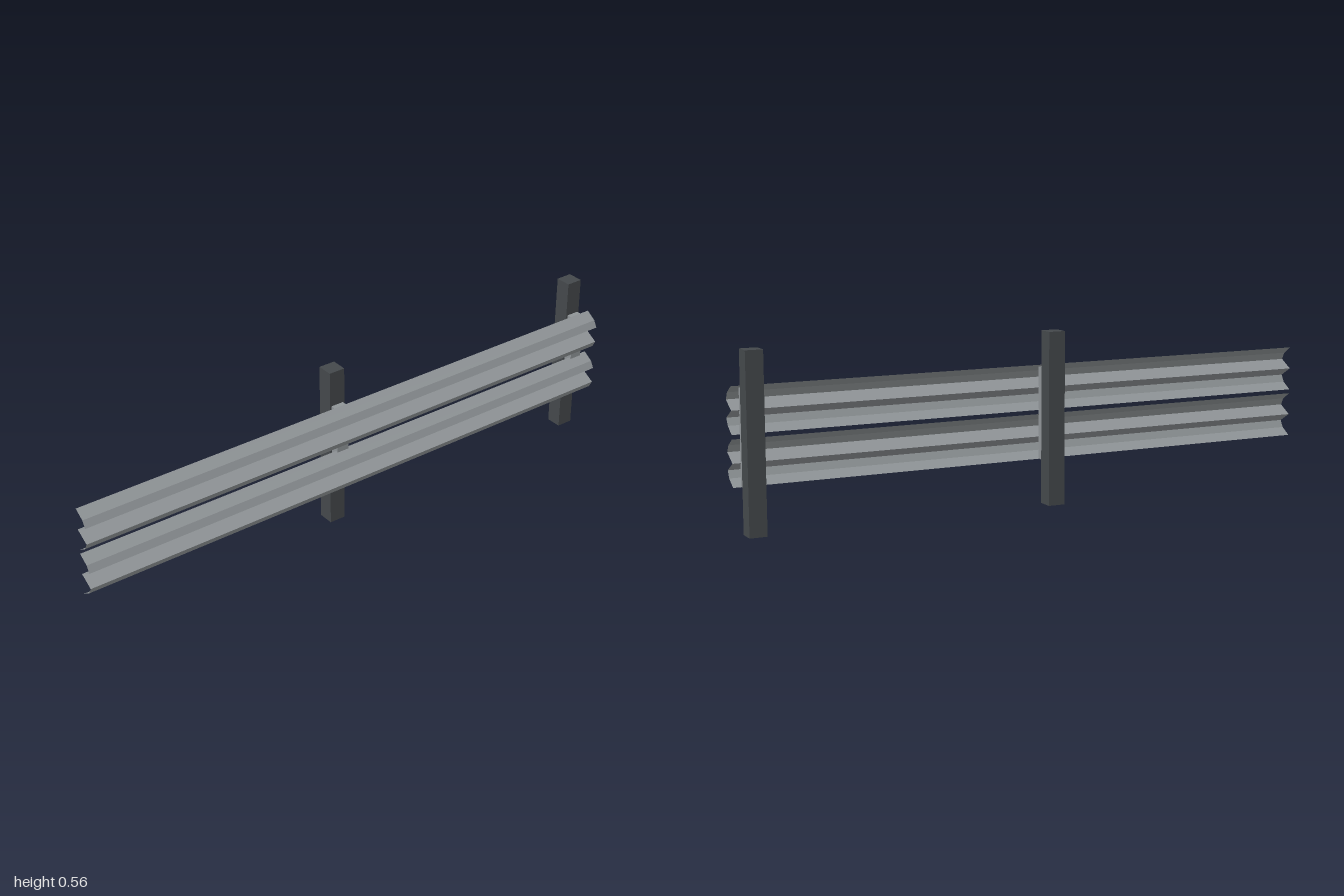
import * as THREE from 'three';

const steel = new THREE.MeshStandardMaterial({ color: 0x8f9497, flatShading: true, side: THREE.DoubleSide });
steel.name = 'galvanised grey';
const dark = new THREE.MeshStandardMaterial({ color: 0x44484b, flatShading: true });
dark.name = 'dark post grey';

// Folded beam profile as [x, height above the beam's middle], top to bottom
const upperHalf = [[0.0155, 0.073], [0.05, 0.0505], [0.0625, 0.0275]];
const profile = [...upperHalf, [0.0155, 0], ...upperHalf.map(([x, y]) => [x, -y]).reverse()];

// Thin sheet: the profile swept along z
function beamGeometry() {
  const positions = [], index = [];
  profile.forEach(([x, y], i) => {
    positions.push(x, y, 1, x, y, -1);
    if (i > 0) {
      const a = (i - 1) * 2, b = i * 2;
      index.push(a, b, b + 1, a, b + 1, a + 1);
    }
  });
  const geometry = new THREE.BufferGeometry();
  geometry.setAttribute('position', new THREE.Float32BufferAttribute(positions, 3));
  geometry.setIndex(index);
  const flat = geometry.toNonIndexed();
  flat.computeVertexNormals();
  return flat;
}

// Box given by its limits in x and y, and its centre and depth in z
function box(name, material, x0, x1, y0, y1, z, depth) {
  const mesh = new THREE.Mesh(new THREE.BoxGeometry(x1 - x0, y1 - y0, depth), material);
  mesh.position.set((x0 + x1) / 2, (y0 + y1) / 2, z);
  mesh.name = name;
  return mesh;
}

export function createModel() {
  const group = new THREE.Group();
  group.name = 'guardrail';

  // Two beams, one above the other
  const geometry = beamGeometry();
  [['upperBeam', 0.373], ['lowerBeam', 0.2135]].forEach(([name, y]) => {
    const beam = new THREE.Mesh(geometry, steel);
    beam.name = name;
    beam.position.y = y;
    group.add(beam);
  });

  // Posts with the spacer blocks that carry the beams
  [['middle', 0.049], ['rear', -0.951]].forEach(([name, z]) => {
    group.add(box(name + 'Post', dark, -0.0625, -0.0085, 0, 0.56, z, 0.056));
    group.add(box(name + 'Spacer', steel, -0.0085, 0.0215, 0.14, 0.44, z, 0.044));
  });
  return group;
}
